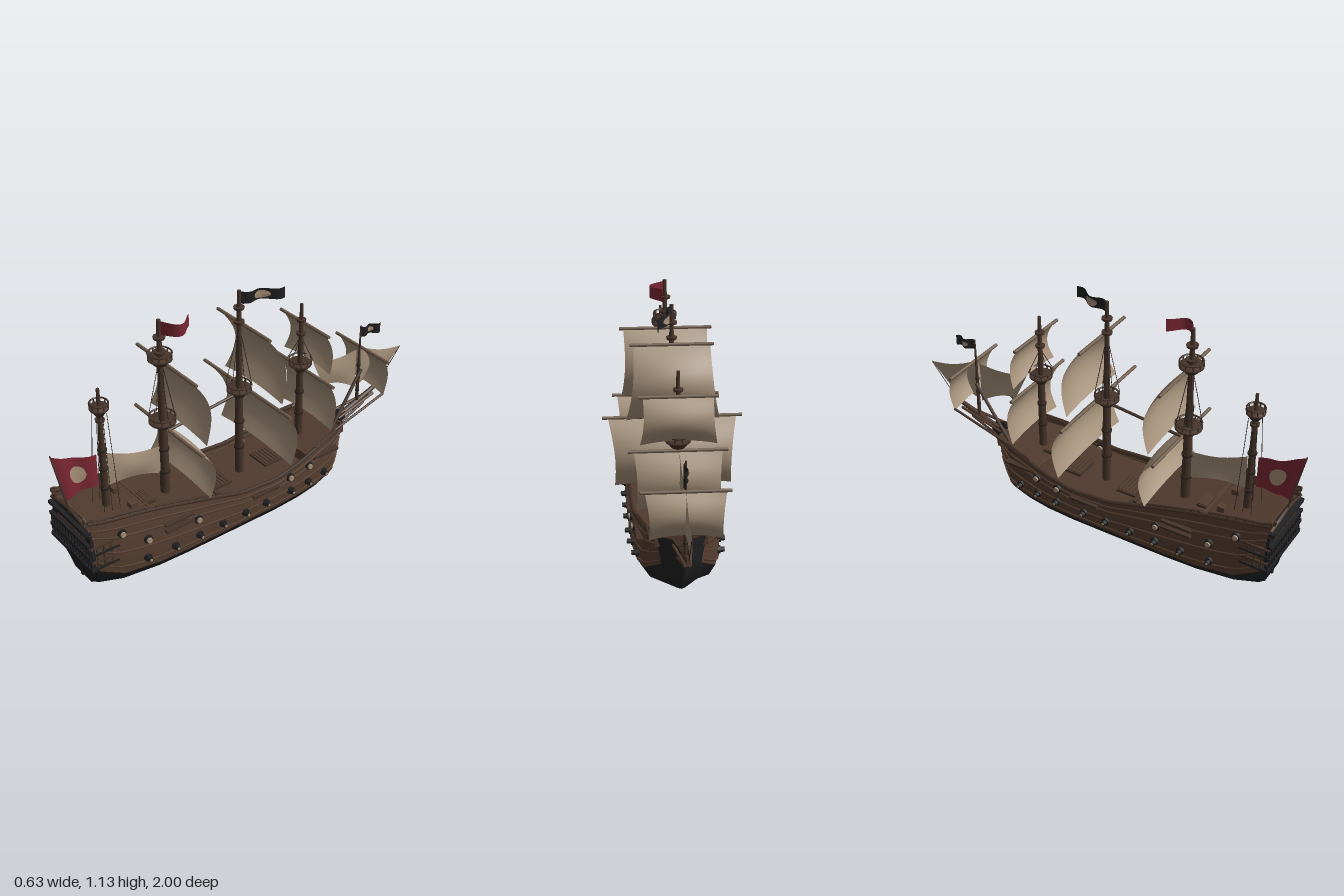
import * as THREE from 'three';

const paint = (name, color, side = THREE.FrontSide) => {
  const m = new THREE.MeshStandardMaterial({ color, side });
  m.name = name;
  return m;
};
const V = (x, y, z) => new THREE.Vector3(x, y, z);
const lerp = THREE.MathUtils.lerp;

// Hull stations: z, keel y, bottom half width, widest half width, waterline y, top y, top half width
const STATIONS = [
  [0.93, 0.17, 0.10, 0.155, 0.18, 0.385, 0.148], [0.89, 0.0, 0.07, 0.158, 0.12, 0.37, 0.15],
  [0.78, 0.0, 0.10, 0.177, 0.065, 0.355, 0.155], [0.6, 0.0, 0.125, 0.194, 0.05, 0.325, 0.165],
  [0.44, 0.0, 0.13, 0.2, 0.05, 0.29, 0.178], [0.28, 0.0, 0.13, 0.2, 0.05, 0.25, 0.185],
  [0.15, 0.0, 0.13, 0.2, 0.05, 0.215, 0.19], [-0.05, 0.0, 0.13, 0.2, 0.05, 0.2, 0.19],
  [-0.2, 0.0, 0.115, 0.197, 0.055, 0.225, 0.185], [-0.32, 0.0, 0.085, 0.185, 0.06, 0.26, 0.172],
  [-0.43, 0.0, 0.05, 0.16, 0.075, 0.275, 0.152], [-0.525, 0.015, 0.015, 0.09, 0.14, 0.278, 0.118],
  [-0.555, 0.07, 0.01, 0.035, 0.18, 0.268, 0.04], [-0.61, 0.15, 0.008, 0.02, 0.215, 0.255, 0.02],
  [-0.64, 0.2, 0.004, 0.01, 0.225, 0.25, 0.01],
];
function station(z) {
  let i = 0;
  while (i < STATIONS.length - 2 && z < STATIONS[i + 1][0]) i++;
  const a = STATIONS[i], b = STATIONS[i + 1], t = (z - a[0]) / (b[0] - a[0]);
  return a.map((v, k) => lerp(v, b[k], t));
}
const lowerProfile = ([, k, wb, ww, yw]) => [[0, k], [wb, k + 0.005],
  [lerp(wb, ww, 0.72), lerp(k, yw, 0.38)], [ww * 0.98, yw]];
const upperProfile = ([, , , ww, yw, top, wt]) => [[ww * 0.98, yw], [ww, lerp(yw, top, 0.22)],
  [lerp(ww, wt, 0.25), lerp(yw, top, 0.5)], [wt, top]];
// Half width of the planking at a given height
function sideX(z, y) {
  const p = upperProfile(station(z));
  for (let i = 0; i < 3; i++) if (y <= p[i + 1][1])
    return lerp(p[i][0], p[i + 1][0], Math.max(0, (y - p[i][1]) / (p[i + 1][1] - p[i][1])));
  return p[3][0];
}
// Skin over equal length rows of points
function loft(rows) {
  const n = rows[0].length, index = [];
  for (let r = 0; r < rows.length - 1; r++) for (let i = 0; i < n - 1; i++) {
    const a = r * n + i, b = a + n;
    index.push(a, a + 1, b, a + 1, b + 1, b);
  }
  const g = new THREE.BufferGeometry();
  g.setAttribute('position', new THREE.Float32BufferAttribute(rows.flat(2), 3));
  g.setIndex(index);
  g.computeVertexNormals();
  return g;
}

export function createModel() {
  const ship = new THREE.Group();
  ship.name = 'sailingShip';
  const D = THREE.DoubleSide;
  const hullMat = paint('hullBrown', 0x563e30, D), deckMat = paint('deckBrown', 0x503a2d, D);
  const mastMat = paint('mastBrown', 0x46342a), tar = paint('tarBlack', 0x212123, D);
  const canvas = paint('sailCanvas', 0xa49079, D), red = paint('flagRed', 0x7c2834, D);
  const pale = paint('paleTrim', 0xa89078, D), rope = paint('ropeDark', 0x2e2520), yardMat = paint('yardBrown', 0x6f5c4a);

  const add = (name, geo, mat, x = 0, y = 0, z = 0) => {
    const m = new THREE.Mesh(geo, mat);
    m.name = name;
    m.position.set(x, y, z);
    ship.add(m);
    return m;
  };
  const box = (name, mat, w, h, d, x, y, z) => add(name, new THREE.BoxGeometry(w, h, d), mat, x, y, z);
  const rod = (name, mat, a, b, r0, r1 = r0, sides = 8) => {
    const d = b.clone().sub(a), c = a.clone().add(b).multiplyScalar(0.5);
    const m = add(name, new THREE.CylinderGeometry(r1, r0, d.length(), sides), mat, c.x, c.y, c.z);
    m.quaternion.setFromUnitVectors(V(0, 1, 0), d.normalize());
    return m;
  };
  const tube = (name, mat, pts, r) =>
    add(name, new THREE.TubeGeometry(new THREE.CatmullRomCurve3(pts), 40, r, 5), mat);

  // Hull planking
  add('lowerHull', loft(STATIONS.map(s => {
    const p = lowerProfile(s);
    return [...p.slice(1).reverse().map(([x, y]) => [-x, y, s[0]]), ...p.map(([x, y]) => [x, y, s[0]])];
  })), tar);
  for (const s of [-1, 1]) {
    const skin = st => upperProfile(st).map(([x, y]) => [x * s, y, st[0]]);
    add('hullSide', loft(STATIONS.slice(0, 12).map(skin)), hullMat);
    add('bowSide', loft(STATIONS.slice(11).map(skin)), tar);
    // Wales and rails following the side
    const along = (f, z0, z1, dy = 0) => Array.from({ length: 16 }, (_, i) => {
      const st = station(lerp(z0, z1, i / 15)), y = lerp(st[4], st[5], f);
      return V(s * sideX(st[0], y), y + dy, st[0]);
    });
    for (const f of [0.12, 0.4, 0.68, 0.84]) tube('wale', hullMat, along(f, 0.92, -0.52), 0.005);
    tube('topRail', mastMat, along(1, 0.93, -0.525, 0.004), 0.009);
    for (const [z0, z1, h] of [[0.93, 0.64, 0.02], [0.6, 0.32, 0.018], [-0.3, -0.52, 0.014]]) {
      tube('upperRail', mastMat, along(1, z0, z1, h), 0.005);
      for (let z = z0; z > z1; z -= 0.04)
        box('railPost', mastMat, 0.008, h, 0.008, s * station(z)[6], station(z)[5] + h / 2, z);
    }
    // Gun ports with muzzles
    const gun = (z, y, len, r, mat) => {
      const x = sideX(z, y);
      rod('gunMuzzle', mat, V(s * (x - 0.02), y, z), V(s * (x + len), y, z), r, r * 0.8, 10);
      rod('portRing', tar, V(s * (x - 0.01), y, z), V(s * (x + 0.01), y, z), r + 0.006, r + 0.004, 10);
      return x + len;
    };
    for (const z of [0.67, 0.53, 0.4, 0.27, 0.14, 0.02, -0.13, -0.24, -0.35]) {
      const x = gun(z, 0.108, 0.028, 0.014, tar);
      rod('muzzleFace', pale, V(s * (x - 0.004), 0.108, z), V(s * (x + 0.002), 0.108, z), 0.007, 0.007, 8);
    }
    for (const [z, y] of [[0.78, 0.28], [0.66, 0.2], [0.4, 0.19], [-0.13, 0.18], [-0.25, 0.19]]) gun(z, y, 0.018, 0.016, pale);
    // Channel ledges and quarter galleries
    for (const [z, y] of [[0.5, 0.235], [0.5, 0.205], [0.02, 0.17], [-0.36, 0.21]])
      box('channelLedge', mastMat, 0.03, 0.012, 0.15, s * (sideX(z, y) + 0.003), y, z);
    for (let i = 0; i < 4; i++) {
      const y = 0.155 + i * 0.036, x = sideX(0.84, y) - 0.006;
      box('quarterGallery', i % 2 ? mastMat : tar, 0.024, 0.01, 0.18 - i * 0.02, s * x, y, 0.845 + i * 0.01);
      if (i < 3) for (let k = 0; k < 4; k++) box('galleryPost', mastMat, 0.01, 0.028, 0.007, s * (x + 0.004), y + 0.018, 0.8 + k * 0.035);
    }
  }

  // Decks, each a sloping strip between the two sides
  for (const [name, z0, z1, y0, y1] of [['poopDeck', 0.92, 0.6, 0.345, 0.3], ['quarterDeck', 0.6, 0.28, 0.265, 0.238],
    ['waistDeck', 0.28, -0.26, 0.178, 0.178], ['foreDeck', -0.26, -0.525, 0.235, 0.252]]) {
    const rows = [];
    for (let i = 0; i <= 8; i++) {
      const z = lerp(z0, z1, i / 8), y = Math.min(lerp(y0, y1, i / 8), station(z)[5] - 0.008), x = sideX(z, y);
      rows.push([[-x, y, z], [x, y, z]]);
    }
    add(name, loft(rows), deckMat);
  }
  for (const [z, y, h, w] of [[0.6, 0.28, 0.05, 0.34], [0.28, 0.208, 0.07, 0.36], [-0.26, 0.205, 0.06, 0.35], [-0.525, 0.25, 0.05, 0.225]])
    box('bulkhead', hullMat, w, h, 0.01, 0, y, z);
  for (const [z, y, w, d] of [[0.16, 0.182, 0.12, 0.1], [-0.14, 0.182, 0.12, 0.1], [0.55, 0.265, 0.1, 0.05], [-0.28, 0.24, 0.1, 0.05]]) {
    box('hatch', mastMat, w, 0.014, d, 0, y, z);
    for (let i = -2; i <= 2; i++) box('hatchBar', hullMat, w * 0.9, 0.006, 0.007, 0, y + 0.009, z + i * d * 0.18);
  }
  for (const s of [-1, 1]) {
    box('deckChest', hullMat, 0.035, 0.03, 0.035, s * 0.07, 0.32, 0.66);
    for (let i = 0; i < 4; i++) box('stairStep', mastMat, 0.05, 0.016 * (i + 1), 0.016, s * 0.12, 0.175 + 0.008 * (i + 1), 0.21 + i * 0.016);
  }

  // Stern: plate, balcony ledges, balusters, windows
  const plate = (name, mat, pts, depth, z) => add(name, new THREE.ExtrudeGeometry(
    new THREE.Shape(pts.map(p => new THREE.Vector2(...p))), { depth, bevelEnabled: false }), mat, 0, 0, z);
  const half = [[0.1, 0.14], [0.16, 0.155], [0.165, 0.22], [0.148, 0.35], [0.08, 0.375]];
  const outline = [...half, ...half.map(([x, y]) => [-x, y]).reverse()];
  plate('sternPlate', tar, outline, 0.014, 0.916);
  plate('sternInside', hullMat, outline, 0.006, 0.909);
  plate('lowerStern', tar, [[-0.07, 0.003], [0.07, 0.003], [0.12, 0.05], [0.155, 0.13], [0.155, 0.165], [-0.155, 0.165], [-0.155, 0.13], [-0.12, 0.05]], 0.008, 0.884);
  box('counterUnderside', tar, 0.3, 0.01, 0.04, 0, 0.15, 0.907);
  box('rudder', tar, 0.014, 0.16, 0.014, 0, 0.082, 0.892);
  for (let i = 0; i < 4; i++) {
    const y = 0.15 + i * 0.063, w = 0.34 - i * 0.012, z = 0.926 + i * 0.003;
    box('sternLedge', tar, w, 0.016, 0.028, 0, y, z);
    if (i < 2) for (let k = 0; k < 14; k++)
      box('sternBaluster', tar, 0.008, 0.04, 0.008, (k / 13 - 0.5) * w * 0.94, y + 0.026, z + 0.007);
  }
  for (let k = 0; k < 6; k++) box('sternWindow', hullMat, 0.032, 0.034, 0.006, (k - 2.5) * 0.038, 0.303, 0.929);
  tube('sternCrown', mastMat, [V(-0.15, 0.36, 0.93), V(-0.07, 0.382, 0.935), V(0, 0.39, 0.935), V(0.07, 0.382, 0.935), V(0.15, 0.36, 0.93)], 0.009);
  for (const x of [-0.12, 0, 0.12]) rod('sternLantern', mastMat, V(x, 0.365, 0.93), V(x, 0.398, 0.935), 0.006, 0.007, 6);

  // Beak and bowsprit
  rod('bowsprit', mastMat, V(0, 0.2, -0.53), V(0, 0.325, -0.87), 0.018, 0.01);
  for (const s of [-1, 1]) {
    rod('beakRail', hullMat, V(s * 0.04, 0.24, -0.53), V(s * 0.01, 0.285, -0.82), 0.007);
    rod('lowerBeakRail', mastMat, V(s * 0.025, 0.19, -0.56), V(s * 0.008, 0.255, -0.76), 0.006);
    rod('headBoom', mastMat, V(s * 0.1, 0.27, -0.47), V(s * 0.06, 0.5, -0.68), 0.008);
    rod('sideBoom', mastMat, V(s * 0.145, 0.28, -0.42), V(s * 0.15, 0.38, -0.75), 0.006);
  }

  // Crow's nest: cup, posts and rim
  const nest = (z, y, r) => {
    const cup = [[0.012, -0.045], [r * 0.5, -0.035], [r * 0.85, -0.012], [r, -0.008], [r, 0.004], [0.012, 0.004]];
    add('crowsNest', new THREE.LatheGeometry(cup.map(p => new THREE.Vector2(...p)), 16), mastMat, 0, y, z);
    add('nestRim', new THREE.TorusGeometry(r * 0.95, 0.004, 5, 18), mastMat, 0, y + 0.022, z).rotation.x = Math.PI / 2;
    for (let i = 0; i < 10; i++) {
      const a = i * Math.PI / 5, x = Math.cos(a) * r * 0.95, dz = Math.sin(a) * r * 0.95;
      rod('nestPost', mastMat, V(x, y, z + dz), V(x, y + 0.022, z + dz), 0.004, 0.004, 4);
    }
  };
  // Masts: z, foot, step, top, radius, nests [height, radius]
  for (const [z, foot, step, top, r, nests] of [
    [0.75, 0.31, 0.64, 0.915, 0.018, [[0.825, 0.042]]], [0.44, 0.24, 0.64, 1.13, 0.023, [[0.635, 0.062], [0.95, 0.055]]],
    [0.02, 0.17, 0.64, 1.13, 0.021, [[0.635, 0.058]]], [-0.34, 0.235, 0.63, 0.945, 0.019, [[0.635, 0.055]]],
    [-0.72, 0.26, 0.5, 0.7, 0.009, []]]) {
    rod('lowerMast', mastMat, V(0, foot, z), V(0, step, z), r, r * 0.85, 12);
    rod('topMast', mastMat, V(0, step, z), V(0, top, z), r * 0.75, r * 0.4, 10);
    for (const f of [0.3, 0.6, 0.9]) rod('mastBand', rope, V(0, lerp(foot, step, f), z), V(0, lerp(foot, step, f) + 0.01, z), r * 1.15, r * 1.15, 12);
    nests.forEach(([y, nr]) => nest(z, y, nr));
    if (r < 0.01) continue;
    for (const h of [0.09, 0.16]) rod('mastCap', mastMat, V(0, top - h, z), V(0, top - h + 0.012, z), r * 1.1, r * 1.2, 10);
    // Shrouds
    for (const s of [-1, 1]) for (const dz of [-0.04, 0, 0.04]) {
      if (z > 0.7) rod('shroud', rope, V(s * 0.05, 0.32, z + dz), V(s * 0.025, 0.8, z + dz / 2), 0.0015, 0.0015, 4);
      else rod('topShroud', rope, V(s * 0.045, 0.655, z + dz), V(0, top - 0.17, z), 0.0018, 0.0018, 4);
    }
  }
  rod('stayBoom', mastMat, V(0, 0.565, 0.43), V(0, 0.612, 0), 0.007);

  // Square sails: mast z, top y, bottom y, half widths, bulge, drift, yard half length
  for (const [z, y0, y1, w0, w1, bulge, drift, yard] of [
    [0.41, 0.9, 0.58, 0.2, 0.215, 0.085, 0.05, 0.22], [0.41, 0.565, 0.31, 0.235, 0.235, 0.09, 0.05, 0.26],
    [-0.005, 0.95, 0.62, 0.17, 0.21, 0.095, 0.055, 0.187], [-0.02, 0.615, 0.31, 0.29, 0.265, 0.085, 0.055, 0.317],
    [-0.36, 0.835, 0.63, 0.15, 0.165, 0.05, 0.02, 0.17], [-0.36, 0.59, 0.33, 0.19, 0.185, 0.06, 0.025, 0.215],
    [-0.735, 0.57, 0.37, 0.165, 0.15, 0.045, 0.015, 0.185]]) {
    const g = new THREE.PlaneGeometry(2, 1, 14, 12), p = g.attributes.position;
    for (let i = 0; i < p.count; i++) {
      const u = p.getX(i), v = 0.5 - p.getY(i), belly = Math.sin(Math.PI * v);
      p.setXYZ(i, u * lerp(w0, w1, v) * (1 - 0.05 * belly), lerp(y0, y1, v) + 0.018 * v * (1 - u * u),
        z - bulge * belly * (1 - 0.3 * u * u) - drift * v);
    }
    g.computeVertexNormals();
    add('squareSail', g, canvas);
    rod('yard', yardMat, V(-yard, y0 + 0.003, z), V(yard, y0 + 0.003, z), 0.008);
  }

  // Cloth between four corners (top start, top end, bottom start, bottom end), waved sideways
  const cloth = (name, mat, [a, b, c, d], amp, waves, sag, emblem, squash) => {
    const map = (g, off = 0) => {
      const p = g.attributes.position;
      for (let i = 0; i < p.count; i++) {
        const u = p.getX(i) + 0.5, v = 0.5 - p.getY(i);
        const q = a.clone().lerp(b, u).lerp(c.clone().lerp(d, u), v);
        q.x += amp * Math.sin(Math.PI * waves * u) * (waves > 1 ? 1 : Math.sin(Math.PI * v)) + off;
        q.y += sag * Math.sin(Math.PI * u) * (2 * v - 1);
        p.setXYZ(i, q.x, q.y, q.z);
      }
      g.computeVertexNormals();
      return g;
    };
    add(name, map(new THREE.PlaneGeometry(1, 1, 14, 8)), mat);
    if (emblem) for (const off of [-0.004, 0.004]) add('flagDisc', map(new THREE.CircleGeometry(emblem, 20).scale(squash, 1, 1), off), pale);
  };
  cloth('mizzenSail', canvas, [V(0, 0.585, 0.73), V(0, 0.505, 0.46), V(0, 0.415, 0.73), V(0, 0.36, 0.46)], 0.012, 1, 0.018);
  cloth('innerJib', canvas, [V(0, 0.605, -0.42), V(0, 0.575, -0.7), V(0, 0.455, -0.49), V(0, 0.36, -0.7)], 0.01, 1, 0.018);
  cloth('outerJib', canvas, [V(0, 0.58, -0.725), V(0, 0.49, -1), V(0, 0.37, -0.725), V(0, 0.375, -0.88)], 0.008, 1, 0.018);
  rod('jibStay', rope, V(0, 0.32, -0.86), V(0, 0.49, -0.998), 0.002, 0.002, 4);
  cloth('redPennant', red, [V(0, 1.125, 0.44), V(0.06, 1.12, 0.3), V(0, 1.06, 0.44), V(0.06, 1.06, 0.3)], 0.05, 1.3, 0.003);
  cloth('blackPennant', tar, [V(0, 1.125, 0.02), V(0.07, 1.115, -0.18), V(0, 1.065, 0.02), V(0.07, 1.06, -0.18)], 0.014, 3, 0.003, 0.36, 0.5);
  cloth('bowPennant', tar, [V(0, 0.695, -0.72), V(0.01, 0.685, -0.84), V(0, 0.64, -0.72), V(0.01, 0.63, -0.84)], 0.01, 3, 0.002, 0.25, 0.6);
  cloth('sternFlag', red, [V(0, 0.68, 0.998), V(0, 0.6, 0.78), V(0, 0.43, 0.945), V(0, 0.44, 0.78)], 0.006, 3, 0.012, 0.25, 0.8);
  rod('flagStaff', mastMat, V(0, 0.37, 0.93), V(0, 0.685, 0.997), 0.005, 0.003, 6);
  return ship;
}
